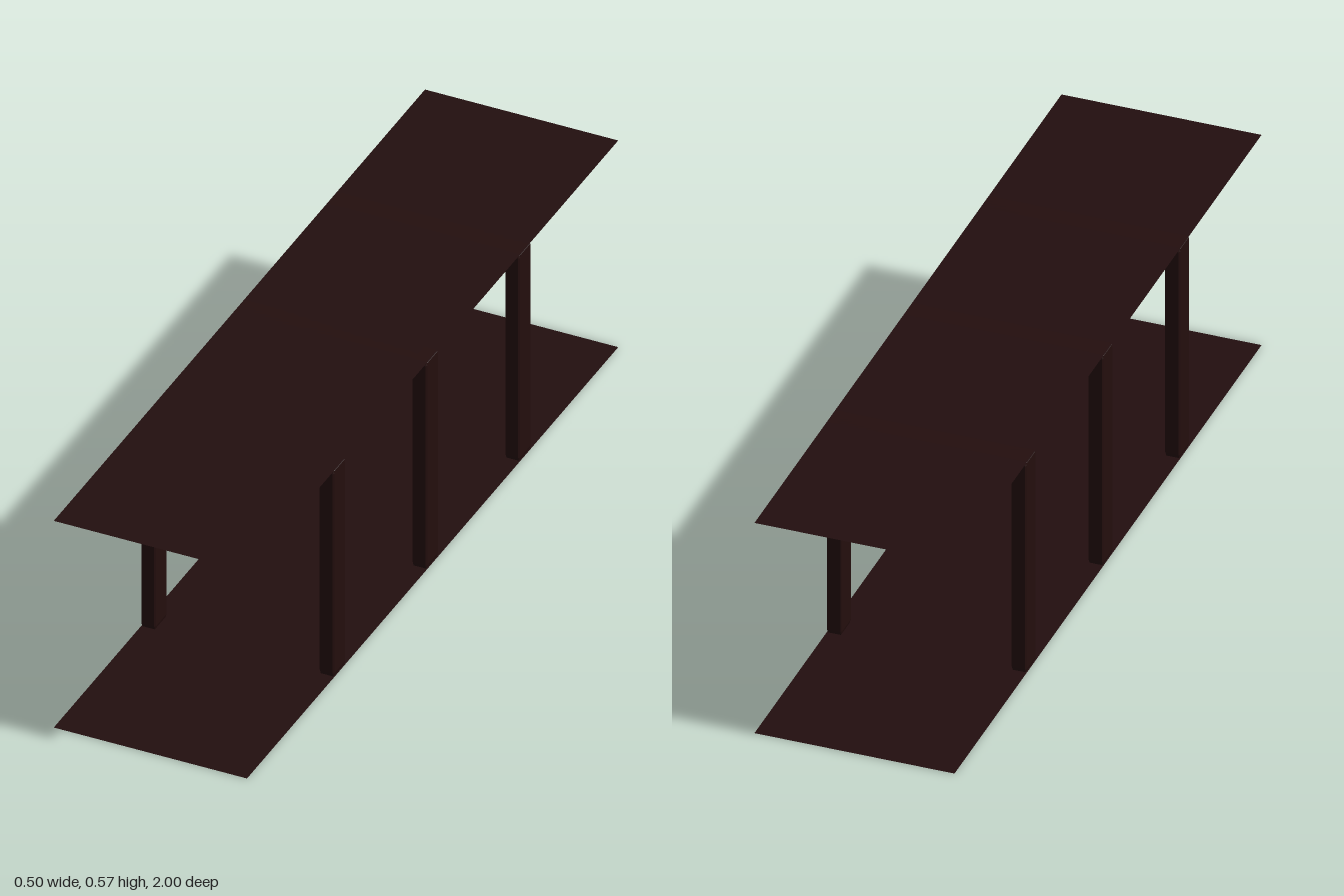
import * as THREE from 'three';
import { ConvexGeometry } from 'three/addons/geometries/ConvexGeometry.js';

const HEIGHT = 0.575, HALF_WIDTH = 0.248, HALF_LENGTH = 1;
const THICK = 0.038, DEPTH = 0.065;

// Box with chamfered edges; the chamfer is given per axis
function chamferedBox(size, chamfer) {
  const points = [];
  for (const sx of [-1, 1]) for (const sy of [-1, 1]) for (const sz of [-1, 1]) {
    const s = [sx, sy, sz];
    for (let full = 0; full < 3; full++) {
      points.push(new THREE.Vector3(...s.map((sign, i) =>
        sign * (size[i] / 2 - (i === full ? 0 : chamfer[i])))));
    }
  }
  return new ConvexGeometry(points);
}

export function createModel() {
  const group = new THREE.Group();
  const timber = new THREE.MeshStandardMaterial({ color: 0x230e0d });
  timber.name = 'dark timber';
  const panel = new THREE.MeshStandardMaterial({ color: 0x220e0f, side: THREE.DoubleSide });
  panel.name = 'dark panel';

  const add = (name, geometry, material, x, y, z) => {
    const mesh = new THREE.Mesh(geometry, material);
    mesh.name = name;
    mesh.position.set(x, y, z);
    group.add(mesh);
  };

  // Thin roof and floor sheets
  const sheet = new THREE.PlaneGeometry(2 * HALF_WIDTH, 2 * HALF_LENGTH).rotateX(-Math.PI / 2);
  add('roofPanel', sheet, panel, 0, HEIGHT, 0);
  add('floorPanel', sheet, panel, 0, 0, 0);

  // Three portal frames: two posts joined by a cross beam
  const post = chamferedBox([THICK, HEIGHT, DEPTH], [0.003, 0.01, 0.004]);
  const beam = chamferedBox([2 * HALF_WIDTH, THICK, DEPTH - 0.004], [0.004, 0.003, 0.004]);
  for (const z of [-0.5, 0, 0.5]) {
    add('leftPost', post, timber, HALF_WIDTH - THICK / 2, HEIGHT / 2, z);
    add('rightPost', post, timber, -HALF_WIDTH + THICK / 2, HEIGHT / 2, z);
    add('crossBeam', beam, timber, 0, HEIGHT - THICK / 2, z);
  }
  return group;
}
